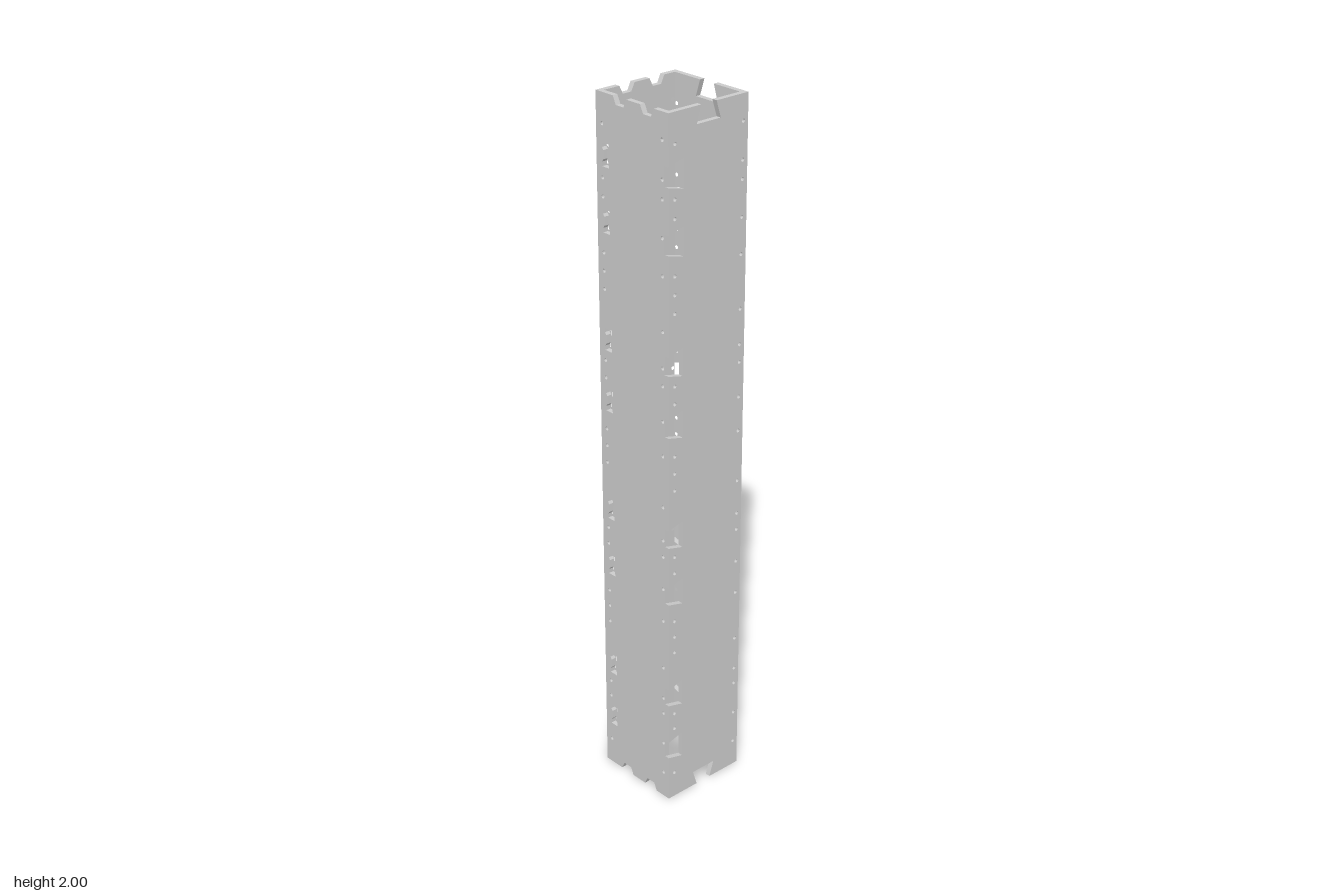
import * as THREE from 'three';

const H = 2, R = 0.133, T = 0.015, IN = R - T;
const clipHeights = [0.165, 0.34, 0.665, 0.84, 1.165, 1.34, 1.665, 1.84];

// Repeats a pattern of heights every half unit along the panel
function repeat(offsets) {
  const out = [];
  for (let k = 0; k < 4; k++) for (const o of offsets) out.push(o + k * 0.5);
  return out.filter(y => y < 1.95);
}
const nearPins = [...repeat([0.23, 0.28, 0.48]), 0.08, 0.53, 0.58, 1.03, 1.08, 1.53, 1.58, 1.92].filter(y => y < 1.94 && Math.abs(y - 1.98) > 0.01);
const farPins = repeat([0.08, 0.18, 0.28, 0.33, 0.43]);

// One wall: p runs across the wall, its clip side at negative p; s mirrors it
function wall(name, { from, to, s, angle, dovetail }) {
  // notches across an end as [p, depth] runs
  const endRun = dovetail
    ? [[-0.025, 0], [-0.04, 0.046], [0.04, 0.046], [0.025, 0]]
    : [-0.043, 0.057].flatMap(c => [[c - 0.025, 0], [c - 0.014, 0.022], [c + 0.014, 0.022], [c + 0.025, 0]]);

  const pts = [[from, 0]];
  for (const [p, d] of endRun) pts.push([p, d]);
  pts.push([to, 0], [to, H]);
  for (const [p, d] of [...endRun].reverse()) pts.push([p, H - d]);
  pts.push([from, H]);

  // dovetail cutouts open to the clip-side edge
  if (dovetail) {
    for (const y of [...clipHeights].reverse()) {
      pts.push([from, y + 0.026], [-0.083, y + 0.039], [-0.083, y - 0.039], [from, y - 0.026]);
    }
  }
  const shape = new THREE.Shape(pts.map(([p, y]) => new THREE.Vector2(s * p, y)));

  // waisted slots
  if (!dovetail) {
    for (const y of clipHeights) {
      const slot = [[-0.112, -0.031], [-0.086, -0.031], [-0.086, -0.019], [-0.091, -0.012], [-0.091, 0.012], [-0.086, 0.019],
        [-0.086, 0.031], [-0.112, 0.031], [-0.112, 0.019], [-0.107, 0.012], [-0.107, -0.012], [-0.112, -0.019]];
      shape.holes.push(new THREE.Path(slot.map(([p, q]) => new THREE.Vector2(s * p, y + q))));
    }
  }

  // small pin holes along both edges
  const pin = (p, y) => {
    const hole = new THREE.Path();
    hole.absarc(s * p, y, 0.0055, 0, Math.PI * 2, true);
    shape.holes.push(hole);
  };
  nearPins.forEach(y => pin(-0.111, y));
  farPins.forEach(y => pin(to > IN ? 0.117 : 0.111, y));

  const geo = new THREE.ExtrudeGeometry(shape, { depth: T, bevelEnabled: false, curveSegments: 5 });
  geo.translate(0, 0, IN);
  const mesh = new THREE.Mesh(geo, new THREE.MeshStandardMaterial({ color: 0xcccccc, flatShading: true }));
  mesh.name = name;
  mesh.rotation.y = angle;
  return mesh;
}

export function createModel() {
  const group = new THREE.Group();
  group.name = 'squareColumn';
  group.add(
    wall('frontWall', { from: -R, to: R, s: 1, angle: 0, dovetail: true }),
    wall('leftWall', { from: -R, to: IN, s: -1, angle: Math.PI / 2, dovetail: true }),
    wall('backWall', { from: -IN, to: IN, s: -1, angle: Math.PI, dovetail: false }),
    wall('rightWall', { from: -R, to: IN, s: 1, angle: -Math.PI / 2, dovetail: false })
  );
  return group;
}
